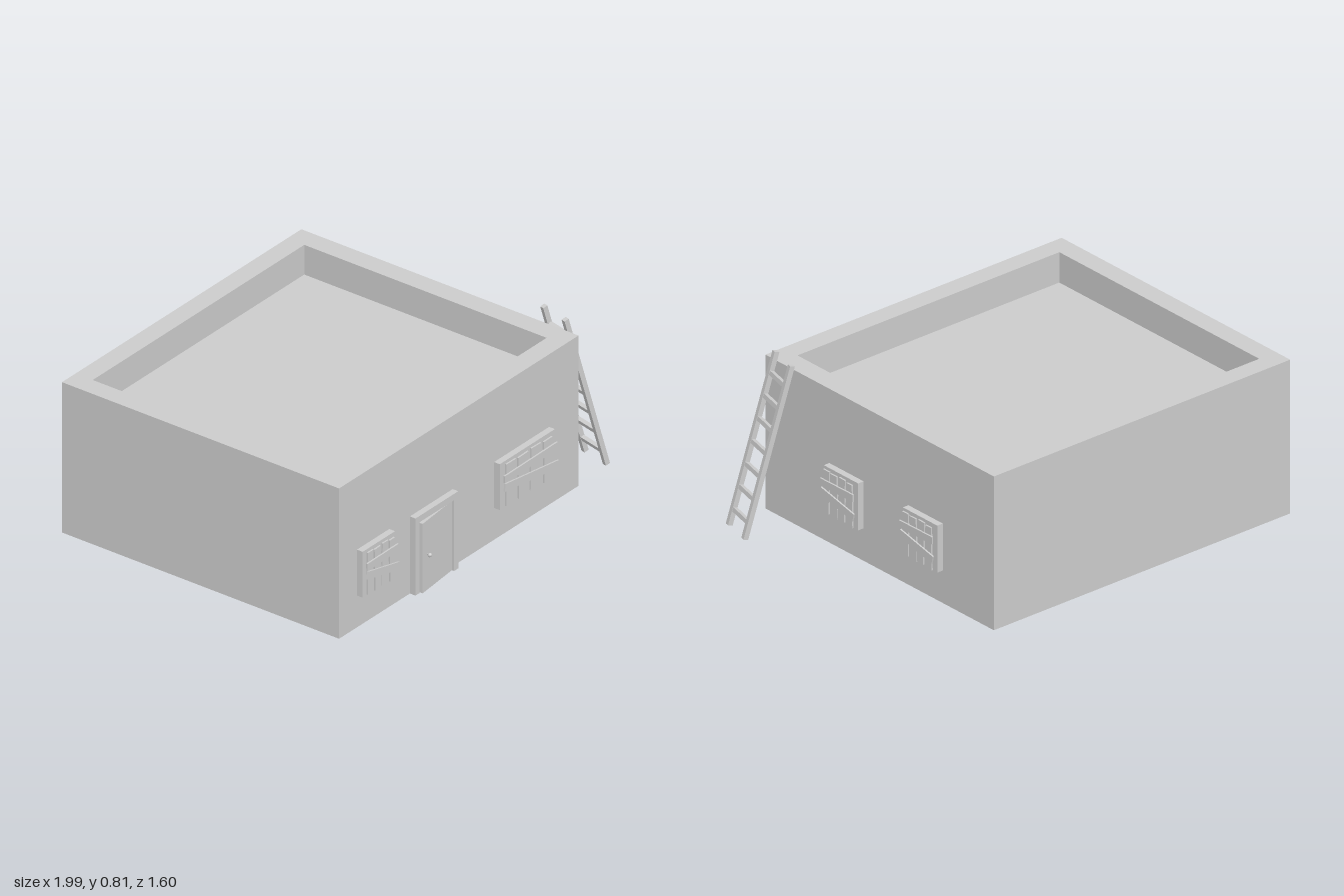
import * as THREE from 'three';

const material = new THREE.MeshStandardMaterial({ color: 0xcccccc, flatShading: true });

function addMesh(parent, name, geometry, x = 0, y = 0, z = 0) {
  const mesh = new THREE.Mesh(geometry, material);
  mesh.name = name;
  mesh.position.set(x, y, z);
  parent.add(mesh);
  return mesh;
}

// Box given by its minimum and maximum corners
function addBox(parent, name, [x0, y0, z0], [x1, y1, z1]) {
  const geometry = new THREE.BoxGeometry(x1 - x0, y1 - y0, z1 - z0);
  return addMesh(parent, name, geometry, (x0 + x1) / 2, (y0 + y1) / 2, (z0 + z1) / 2);
}

function rectangle(PathType, x0, y0, x1, y1) {
  return new PathType([[x0, y0], [x1, y0], [x1, y1], [x0, y1]].map(([x, y]) => new THREE.Vector2(x, y)));
}

// Walls with a sunken flat roof behind a parapet
function createBuilding() {
  const building = new THREE.Group();
  building.name = 'building';
  addBox(building, 'walls', [-1, 0, -0.8], [0.717, 0.61, 0.74]);
  const outline = rectangle(THREE.Shape, -1, -0.74, 0.717, 0.8);
  outline.holes.push(rectangle(THREE.Path, -0.902, -0.642, 0.615, 0.705));
  const parapet = new THREE.ExtrudeGeometry(outline, { depth: 0.15, bevelEnabled: false });
  parapet.rotateX(-Math.PI / 2);
  addMesh(building, 'parapet', parapet, 0, 0.61, 0);
  return building;
}

// Window slab covered by four upright boards and two crossing boards; faces local +z
function createWindow(width) {
  const height = 0.232;
  const win = new THREE.Group();
  win.name = 'boardedWindow';
  addBox(win, 'windowFrame', [-width / 2, -height / 2, 0], [width / 2, height / 2, 0.032]);
  const uprights = [[-0.35, 0.175, 0.004, -0.01], [-0.12, 0.19, 0, 0.03], [0.1, 0.18, 0.004, -0.03], [0.33, 0.16, -0.003, 0.02]];
  for (const [u, w, dy, tilt] of uprights) {
    const board = addMesh(win, 'uprightBoard', new THREE.BoxGeometry(w * width, 0.21, 0.008), u * width, dy, 0.046);
    board.rotation.z = tilt;
  }
  const upper = addMesh(win, 'upperBoard', new THREE.BoxGeometry(width * 0.96, 0.036, 0.008), -0.01 * width, 0.046, 0.054);
  upper.rotation.z = 0.01;
  const lower = addMesh(win, 'lowerBoard', new THREE.BoxGeometry(width * 0.98, 0.038, 0.008), 0, -0.023, 0.054);
  lower.rotation.z = -Math.atan(0.052 / width);
  return win;
}

// Door frame with a door standing slightly ajar, hinged on its +x edge
function createDoor() {
  const door = new THREE.Group();
  door.name = 'door';
  addBox(door, 'leftJamb', [-0.215, 0, 0.735], [-0.185, 0.39, 0.771]);
  addBox(door, 'rightJamb', [-0.492, 0, 0.735], [-0.462, 0.39, 0.771]);
  addBox(door, 'lintel', [-0.462, 0.358, 0.735], [-0.215, 0.39, 0.771]);
  const leaf = new THREE.Group();
  leaf.name = 'doorLeaf';
  leaf.position.set(-0.216, 0, 0.761);
  leaf.rotation.y = 0.1;
  addBox(leaf, 'doorPanel', [-0.244, 0.002, -0.018], [0, 0.353, 0]);
  const stem = addMesh(leaf, 'knobStem', new THREE.CylinderGeometry(0.004, 0.004, 0.01, 8), -0.204, 0.18, 0.004);
  stem.rotation.x = Math.PI / 2;
  addMesh(leaf, 'doorKnob', new THREE.SphereGeometry(0.01, 12, 8), -0.204, 0.18, 0.012);
  door.add(leaf);
  return door;
}

// Ladder leaning on the wall: local x runs across, local y along the rails
function createLadder() {
  const ladder = new THREE.Group();
  ladder.name = 'ladder';
  const length = 0.838;
  const halfSpan = 0.076;
  for (const side of [-1, 1]) {
    addMesh(ladder, 'rail', new THREE.BoxGeometry(0.022, length, 0.024), side * halfSpan, length / 2, 0);
  }
  for (let i = 0; i < 7; i++) {
    addMesh(ladder, 'rung', new THREE.BoxGeometry(halfSpan * 2, 0.02, 0.02), 0, 0.078 + i * 0.11, 0);
  }
  const along = new THREE.Vector3(-0.22, 0.81, -0.06).normalize();
  const across = new THREE.Vector3(0.037, 0, -0.148);
  across.addScaledVector(along, -across.dot(along)).normalize();
  const outward = new THREE.Vector3().crossVectors(across, along);
  ladder.quaternion.setFromRotationMatrix(new THREE.Matrix4().makeBasis(across, along, outward));
  ladder.position.set(0.962, 0.004, 0.646);
  return ladder;
}

export function createModel() {
  const model = new THREE.Group();
  model.name = 'boardedHouse';
  model.add(createBuilding(), createDoor(), createLadder());

  // Front windows
  for (const [x, width] of [[-0.756, 0.232], [0.309, 0.395]]) {
    const win = createWindow(width);
    win.position.set(x, 0.277, 0.74);
    model.add(win);
  }
  // Side windows
  for (const z of [0.193, -0.34]) {
    const win = createWindow(0.232);
    win.position.set(0.717, 0.277, z);
    win.rotation.y = Math.PI / 2;
    model.add(win);
  }
  return model;
}
